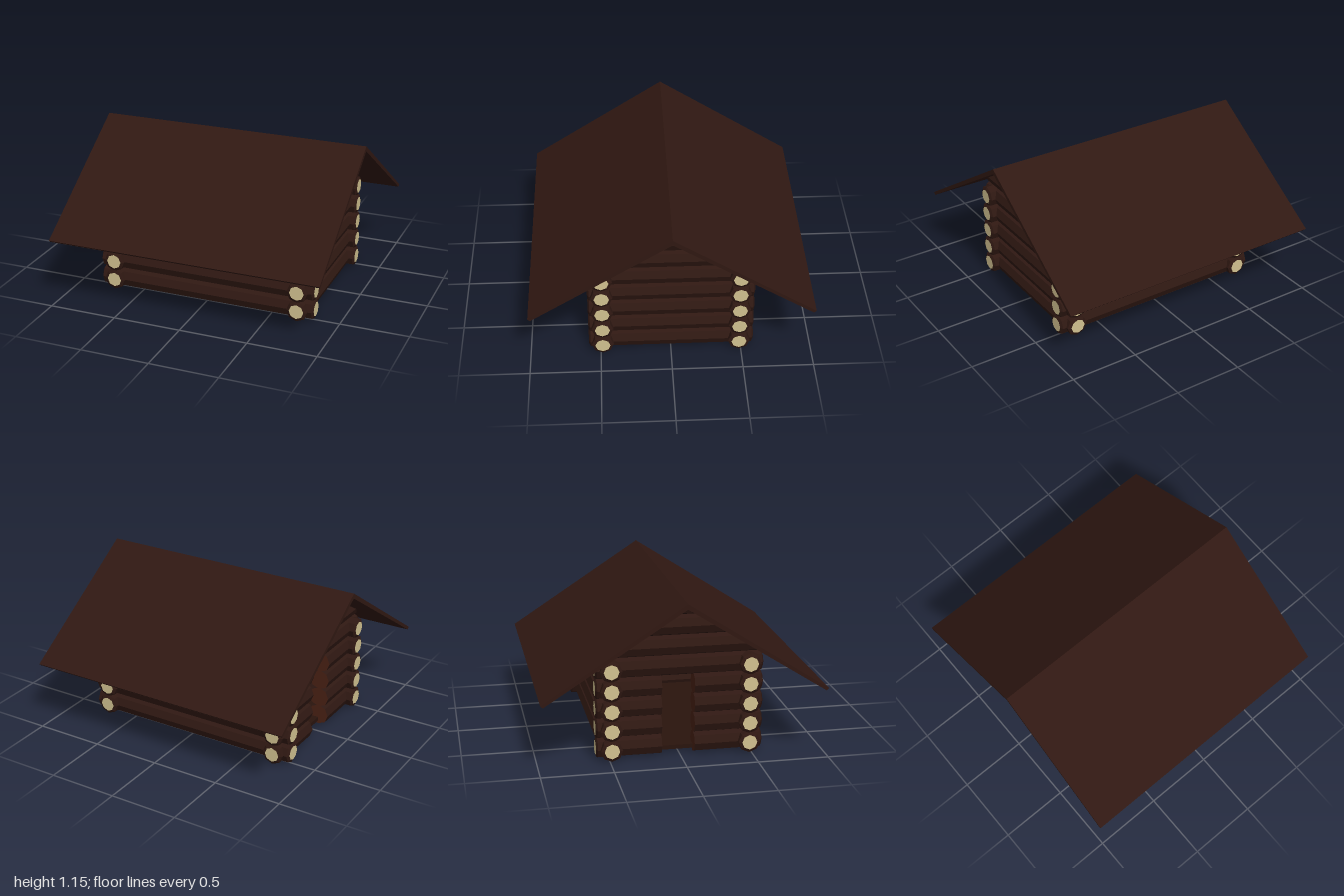
import * as THREE from 'three';

const mat = (color) => new THREE.MeshStandardMaterial({ color, flatShading: true, side: THREE.DoubleSide });
const bark = mat(0x2f1812), endGrain = mat(0xd2c290), cutWood = mat(0x4a2114);
const roofWood = mat(0x301812), floorWood = mat(0x2a140d);

const R = 0.077, RING = 0.054, STEP = 0.1425, ROWS = 5;
const WALL_X = 0.705, WALL_Z = 0.485;
const RIDGE = 1.145, SLOPE = 0.65;
const rowY = (i) => 0.075 + i * STEP;

function add(parent, name, geometry, material) {
  const mesh = new THREE.Mesh(geometry, material);
  mesh.name = name;
  parent.add(mesh);
  return mesh;
}

// Eight-sided log along local y from a to b; each end is either a bevelled
// pale end or a plain cut one.
function makeLog(name, a, b, cutA = false, cutB = false) {
  const log = new THREE.Group();
  log.name = name;
  const profile = [
    [cutA ? R : RING, a], [R, a + 0.012], [R, b - 0.012], [cutB ? R : RING, b],
  ].map((p) => new THREE.Vector2(...p));
  add(log, 'bark', new THREE.LatheGeometry(profile, 8), bark);
  for (const [y, cut, turn] of [[a, cutA, Math.PI / 2], [b, cutB, -Math.PI / 2]]) {
    const cap = add(log, 'logEnd', new THREE.CircleGeometry(cut ? R : RING, 8), cut ? cutWood : endGrain);
    cap.rotation.x = turn;
    cap.position.y = y;
  }
  return log;
}

export function createModel() {
  const model = new THREE.Group();
  model.name = 'logCabin';

  // Long walls: logs along x
  for (const side of [1, -1]) {
    const wall = new THREE.Group();
    wall.name = side > 0 ? 'frontWall' : 'backWall';
    for (let i = 0; i < ROWS; i++) {
      const log = makeLog('wallLog', -0.82, 0.82);
      log.rotation.z = -Math.PI / 2;
      log.position.set(0, rowY(i), side * WALL_Z);
      wall.add(log);
    }
    model.add(wall);
  }

  // End walls: logs along z, with an open doorway in the -x wall
  for (const side of [1, -1]) {
    const wall = new THREE.Group();
    wall.name = side > 0 ? 'leftWall' : 'doorWall';
    for (let i = 0; i < ROWS; i++) {
      const hasDoor = side < 0 && i < 4;
      const logs = hasDoor
        ? [makeLog('wallLog', -0.59, -0.13, false, true), makeLog('wallLog', 0.1, 0.585, true, false)]
        : [makeLog('wallLog', -0.59, 0.585)];
      for (const log of logs) {
        log.rotation.x = Math.PI / 2;
        log.position.set(side * WALL_X, rowY(i), 0);
        wall.add(log);
      }
    }

    // Gable logs: ends trimmed to the roof slope
    for (let i = ROWS; i < ROWS + 3; i++) {
      const geo = new THREE.CylinderGeometry(R, R, 1, 8);
      geo.rotateX(Math.PI / 2);
      geo.translate(side * WALL_X, rowY(i), 0);
      const pos = geo.attributes.position;
      const limit = RIDGE - 0.025;
      for (let k = 0; k < pos.count; k++) {
        const y = Math.min(pos.getY(k), limit);
        const half = Math.min(0.56, (limit - y) / SLOPE);
        pos.setY(k, y);
        pos.setZ(k, 2 * half * pos.getZ(k));
      }
      geo.computeVertexNormals();
      add(wall, 'gableLog', geo, bark);
    }
    model.add(wall);
  }

  // Floor
  add(model, 'floor', new THREE.BoxGeometry(2 * WALL_X, 0.03, 2 * WALL_Z), floorWood).position.y = 0.035;

  // Roof: thin chevron section with square-cut eaves, extruded along x
  const T = 0.037;
  const section = new THREE.Shape([
    [0, RIDGE], [0.988, RIDGE - 0.988 * SLOPE], [0.971, RIDGE - T - 0.971 * SLOPE + 0.01],
    [0, RIDGE - T], [-0.971, RIDGE - T - 0.971 * SLOPE + 0.01], [-0.988, RIDGE - 0.988 * SLOPE],
  ].map((p) => new THREE.Vector2(...p)));
  const roof = new THREE.ExtrudeGeometry(section, { depth: 2, bevelEnabled: false });
  roof.translate(0, 0, -1);
  roof.rotateY(Math.PI / 2);
  add(model, 'roof', roof, roofWood);

  return model;
}
